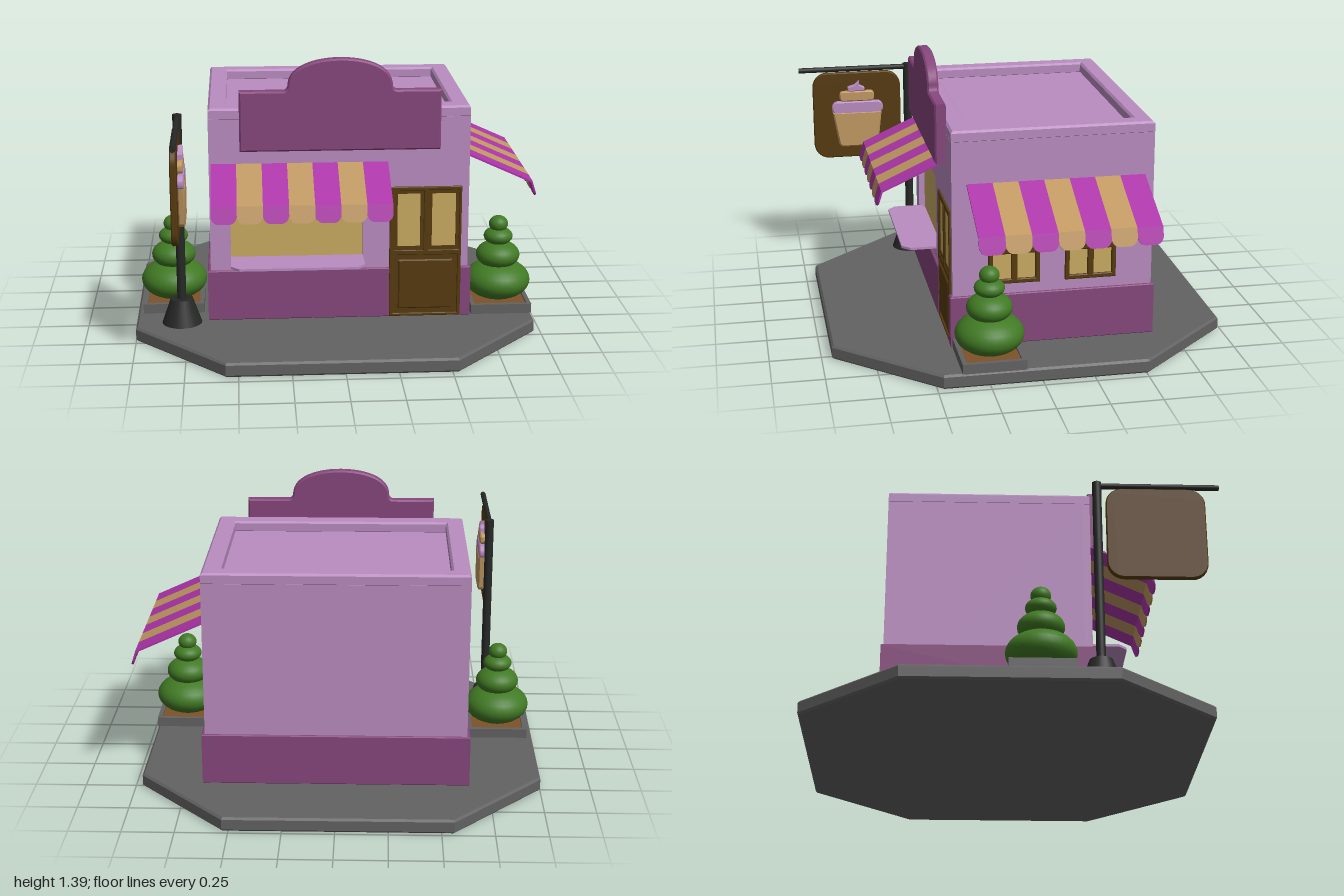
import * as THREE from 'three';
import { toCreasedNormals } from 'three/addons/utils/BufferGeometryUtils.js';

const mat = (name, color) => Object.assign(new THREE.MeshStandardMaterial({ color }), { name });
const M = {
  lilac: mat('lilac wall', 0xb98cc0),
  plum: mat('plum trim', 0x86467c),
  magenta: mat('magenta cloth', 0xad36aa),
  tan: mat('tan cloth', 0xc09862),
  glass: mat('warm glass', 0xc9ab62),
  brown: mat('dark wood', 0x563a0e),
  grey: mat('paving grey', 0x626262),
  black: mat('black metal', 0x262826),
  green: mat('leaf green', 0x417a24),
  soil: mat('soil', 0x7d5228),
};

function add(parent, name, geo, material, x = 0, y = 0, z = 0) {
  const m = new THREE.Mesh(geo, material);
  m.name = name;
  m.position.set(x, y, z);
  parent.add(m);
  return m;
}

function group(parent, name, x, y, z, turn = 0) {
  const g = new THREE.Group();
  g.name = name;
  g.position.set(x, y, z);
  g.rotation.y = turn;
  parent.add(g);
  return g;
}

// box given by its low and high corners
function block(parent, name, material, [x0, y0, z0], [x1, y1, z1]) {
  return add(parent, name, new THREE.BoxGeometry(x1 - x0, y1 - y0, z1 - z0), material,
    (x0 + x1) / 2, (y0 + y1) / 2, (z0 + z1) / 2);
}

const poly = (pts) => new THREE.Shape(pts.map(([x, y]) => new THREE.Vector2(x, y)));
const rect = (x0, y0, x1, y1) => poly([[x0, y0], [x1, y0], [x1, y1], [x0, y1]]);

function roundRect(x0, y0, x1, y1, r) {
  const s = new THREE.Shape();
  s.absarc(x1 - r, y0 + r, r, -Math.PI / 2, 0);
  s.absarc(x1 - r, y1 - r, r, 0, Math.PI / 2);
  s.absarc(x0 + r, y1 - r, r, Math.PI / 2, Math.PI);
  s.absarc(x0 + r, y0 + r, r, Math.PI, Math.PI * 1.5);
  s.closePath();
  return s;
}

// extrusion from z = 0 to depth, bevel kept inside the outline
function plate(shape, depth, bevel = 0, holes = []) {
  shape.holes.push(...holes);
  const geo = new THREE.ExtrudeGeometry(shape, {
    depth: depth - 2 * bevel, bevelEnabled: bevel > 0, bevelSize: bevel, bevelThickness: bevel,
    bevelOffset: -bevel, bevelSegments: 1, curveSegments: 12,
  });
  geo.translate(0, 0, bevel);
  return toCreasedNormals(geo, 0.5);
}

// floor plan [x, z] raised upwards
const flip = (pts) => pts.map(([x, z]) => [x, -z]);
const slab = (pts, height, bevel, holes = []) =>
  plate(poly(flip(pts)), height, bevel, holes.map((h) => poly(flip(h)))).rotateX(-Math.PI / 2);
const plan = (x0, z0, x1, z1) => [[x0, z1], [x1, z1], [x1, z0], [x0, z0]];

// striped awning: sloping strips, each ending in a rounded flap
function awning(parent, name, width, run, drop, x, y, z, turn) {
  const g = group(parent, name, x, y, z, turn);
  const n = 7, w = width / n, length = Math.hypot(run, drop);
  const flap = new THREE.Shape();
  flap.moveTo(-w / 2, 0);
  flap.lineTo(-w / 2, -0.05);
  flap.quadraticCurveTo(-w / 2 + 0.008, -0.085, -w / 6, -0.085);
  flap.lineTo(w / 6, -0.085);
  flap.quadraticCurveTo(w / 2 - 0.008, -0.085, w / 2, -0.05);
  flap.lineTo(w / 2, 0);
  const flapGeo = plate(flap, 0.009);
  for (let i = 0; i < n; i++) {
    const m = i % 2 ? M.tan : M.magenta, cx = (i + 0.5) * w;
    const slope = add(g, 'awningStripe', new THREE.BoxGeometry(w, 0.009, length), m, cx, -drop / 2, run / 2);
    slope.rotation.x = Math.atan2(drop, run);
    add(g, 'awningFlap', flapGeo, m, cx, -drop + 0.003, run - 0.006).rotation.x = -0.3;
  }
}

// four-pane window facing local +z, origin at its lower left corner
function paneWindow(parent, x, y, z, turn) {
  const g = group(parent, 'sideWindow', x, y, z, turn);
  const w = 0.25, h = 0.33, holes = [];
  for (const [a, b] of [[0.022, 0.11], [0.14, 0.228]])
    for (const [c, d] of [[0.022, 0.15], [0.18, 0.308]]) holes.push(rect(a, c, b, d));
  add(g, 'windowFrame', plate(rect(0, 0, w, h), 0.018, 0.004, holes), M.brown);
  block(g, 'windowGlass', M.glass, [0.01, 0.01, 0], [w - 0.01, h - 0.01, 0.005]);
}

// tiered bush in a square planter
function topiary(parent, x, z) {
  const g = group(parent, 'topiary', x, 0.07, z);
  const r = 0.152, i = 0.13;
  add(g, 'planter', slab(plan(-r, -r, r, r), 0.048, 0, [plan(-i, -i, i, i)]), M.grey);
  block(g, 'soil', M.soil, [-i, 0, -i], [i, 0.038, i]);
  const tiers = [[0.135, 0.165, 0.1], [0.265, 0.11, 0.07], [0.362, 0.073, 0.045], [0.425, 0.048, 0.042]];
  for (const [y, radius, half] of tiers)
    add(g, 'bushTier', new THREE.SphereGeometry(radius, 32, 16).scale(1, half / radius, 1), M.green, 0, y, 0);
}

export function createModel() {
  const model = new THREE.Group();
  model.name = 'shop';

  // pavement
  add(model, 'pavement', slab([[-0.56, 0.95], [0.53, 0.95], [0.965, 0.47], [0.965, -0.51],
    [0.53, -0.985], [-0.56, -0.985], [-1, -0.51], [-1, 0.47]], 0.07, 0.01), M.grey);

  // walls, with an opening for the shop window, and the roof rim
  block(model, 'walls', M.lilac, [-0.63, 0.07, -0.598], [0.64, 1.09, 0.34]);
  add(model, 'frontWall', plate(rect(-0.63, 0.07, 0.64, 1.09), 0.037, 0,
    [rect(-0.53, 0.38, 0.12, 0.76)]), M.lilac, 0, 0, 0.34);
  add(model, 'roofRim', slab(plan(-0.63, -0.598, 0.64, 0.377), 0.06, 0.01,
    [plan(-0.54, -0.51, 0.55, 0.28)]), M.lilac, 0, 1.082, 0);
  add(model, 'plinth', slab([[-0.645, 0.39], [0.25, 0.39], [0.25, 0.36], [0.605, 0.36], [0.605, 0.39],
    [0.655, 0.39], [0.655, -0.61], [-0.645, -0.61]], 0.255, 0.004), M.plum, 0, 0.07, 0);

  // shop window and serving shelf
  block(model, 'shopWindow', M.glass, [-0.53, 0.38, 0.338], [0.12, 0.76, 0.346]);
  add(model, 'shelf', slab([[-0.53, 0.36], [0.12, 0.36], [0.12, 0.51], [0.08, 0.55],
    [-0.49, 0.55], [-0.53, 0.51]].reverse(), 0.012, 0), M.lilac, 0, 0.378, 0);

  // door
  const door = group(model, 'door', 0, 0, 0.37);
  const panes = [[0.285, 0.405], [0.455, 0.58]];
  add(door, 'doorFrame', plate(rect(0.25, 0.07, 0.605, 0.74), 0.018, 0.003,
    [...panes.map(([a, b]) => rect(a - 0.013, 0.415, b + 0.013, 0.722)),
      rect(0.27, 0.085, 0.588, 0.39)]), M.brown);
  block(door, 'doorLeaf', M.brown, [0.26, 0.075, -0.01], [0.6, 0.41, 0.009]);
  add(door, 'doorPanel', plate(rect(0.295, 0.11, 0.563, 0.365), 0.014, 0.006), M.brown, 0, 0, 0.005);
  for (const [a, b] of panes) {
    add(door, 'doorPaneTrim', plate(rect(a - 0.013, 0.415, b + 0.013, 0.722), 0.013, 0,
      [rect(a + 0.004, 0.435, b - 0.004, 0.705)]), M.brown);
    block(door, 'doorGlass', M.glass, [a, 0.43, 0], [b, 0.71, 0.009]);
  }

  // shop board with a domed top
  const board = new THREE.Shape();
  board.moveTo(-0.48, 0.94);
  board.lineTo(0.49, 0.94);
  board.lineTo(0.49, 1.235);
  board.lineTo(0.275, 1.235);
  board.quadraticCurveTo(0.255, 1.238, 0.255, 1.27);
  board.bezierCurveTo(0.245, 1.35, 0.13, 1.39, 0.005, 1.39);
  board.bezierCurveTo(-0.12, 1.39, -0.235, 1.35, -0.245, 1.27);
  board.quadraticCurveTo(-0.245, 1.238, -0.265, 1.235);
  board.lineTo(-0.48, 1.235);
  board.closePath();
  add(model, 'shopBoard', plate(board, 0.055, 0.008), M.plum, 0, 0, 0.375);

  // awnings and side windows
  awning(model, 'frontAwning', 0.86, 0.285, 0.13, -0.62, 0.865, 0.375, 0);
  awning(model, 'sideAwning', 0.86, 0.325, 0.148, 0.638, 0.88, 0.305, Math.PI / 2);
  for (const z of [0.205, -0.168]) paneWindow(model, 0.638, 0.378, z, Math.PI / 2);

  // sign post
  const post = group(model, 'signPost', -0.775, 0, 0.4);
  add(post, 'pole', new THREE.CylinderGeometry(0.022, 0.022, 1.055, 20), M.black, 0, 0.5975, 0);
  add(post, 'poleFoot', new THREE.CylinderGeometry(0.055, 0.098, 0.125, 24), M.black, 0, 0.1325, 0);
  add(post, 'arm', new THREE.CylinderGeometry(0.014, 0.014, 0.6, 16).rotateX(Math.PI / 2), M.black, 0, 1.107, 0.285);

  // hanging sign with a cupcake relief
  const sign = group(model, 'hangingSign', -0.795, 0, 0.677, Math.PI / 2);
  add(sign, 'signPanel', plate(roundRect(-0.237, 0.613, 0.237, 1.087, 0.08), 0.03, 0.005), M.brown);
  add(sign, 'cup', plate(poly([[-0.09, 0.68], [0.098, 0.68], [0.11, 0.695], [0.13, 0.875],
    [-0.135, 0.875], [-0.105, 0.695]]), 0.035, 0.008), M.tan, 0, 0, 0.027);
  add(sign, 'lowerIcing', plate(roundRect(-0.138, 0.862, 0.138, 0.932, 0.032), 0.032, 0.006), M.lilac, 0, 0, 0.027);
  add(sign, 'upperIcing', plate(roundRect(-0.095, 0.932, 0.092, 0.988, 0.02), 0.03, 0.006), M.tan, 0, 0, 0.025);
  add(sign, 'icingTip', plate(poly([[-0.05, 0.988], [0.042, 0.988], [0.04, 1.008], [0.012, 1.022],
    [0.012, 1.045], [-0.015, 1.022], [-0.05, 1.012]]), 0.03, 0.004), M.lilac, 0, 0, 0.025);

  topiary(model, -0.82, 0.125);
  topiary(model, 0.815, 0.23);
  return model;
}
